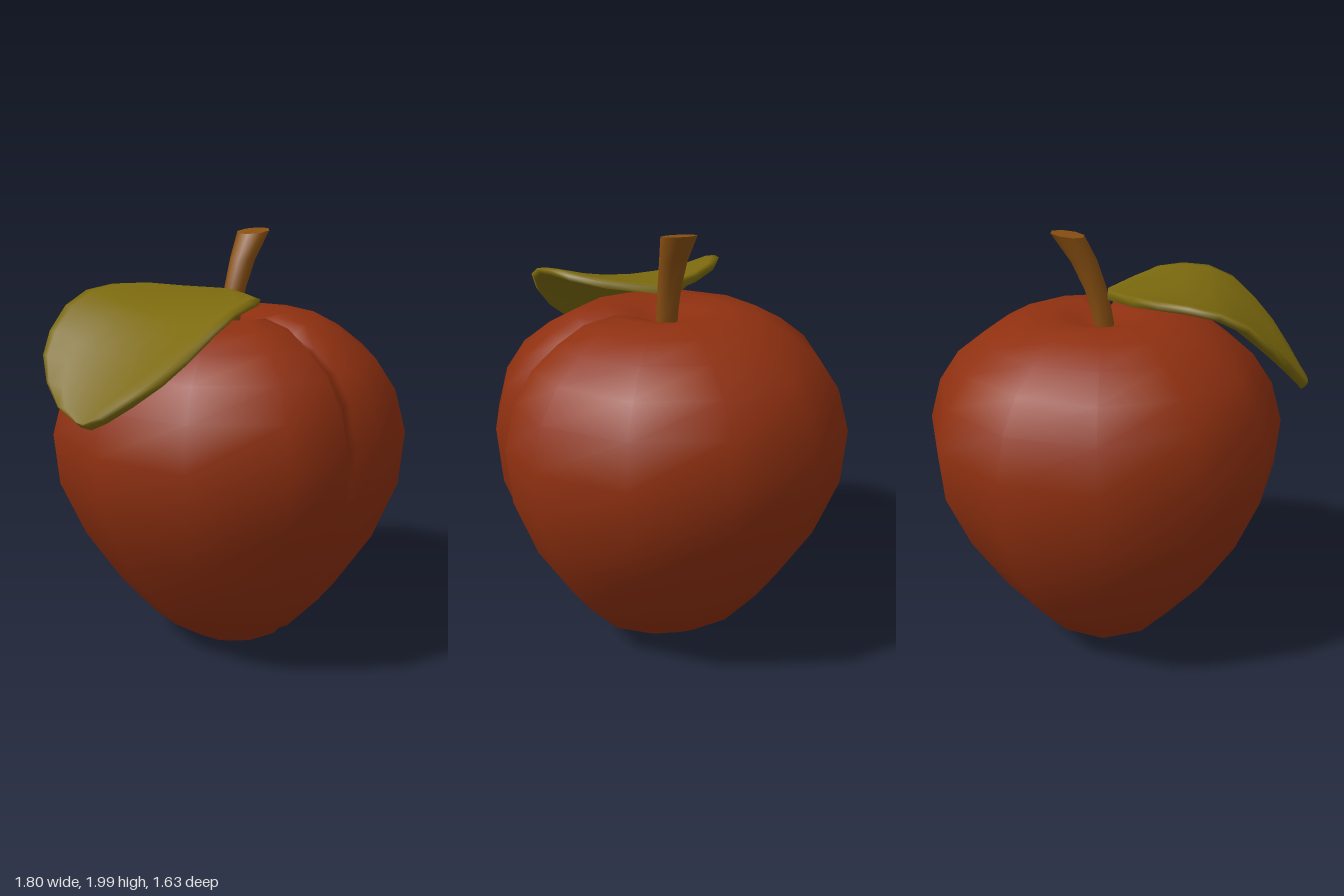
import * as THREE from 'three';
import { toCreasedNormals } from 'three/addons/utils/BufferGeometryUtils.js';

const V = (x, y, z) => new THREE.Vector3(x, y, z);

// Skin a stack of closed rings and close both ends with a fan to a centre point
function loft(rings, startPoint, endPoint) {
  const n = rings[0].length;
  const points = [...rings.flat(), startPoint, endPoint];
  const start = points.length - 2, end = points.length - 1;
  const last = (rings.length - 1) * n;
  const index = [];
  for (let j = 0; j < n; j++) {
    const k = (j + 1) % n;
    for (let i = 0; i < rings.length - 1; i++) {
      const a = i * n + j, b = i * n + k;
      index.push(a, b, b + n, a, b + n, a + n);
    }
    index.push(start, k, j, end, last + j, last + k);
  }
  const geo = new THREE.BufferGeometry().setFromPoints(points);
  geo.setIndex(index);
  geo.computeVertexNormals();
  return geo;
}

const centroid = (ring) =>
  ring.reduce((sum, p) => sum.add(p), V(0, 0, 0)).divideScalar(ring.length);

// Fruit: twelve-sided outline with the front corner replaced by a groove
function fruitGeometry() {
  const cx = 0.06, cz = 0.02;
  const outline = [[0.035, 0.875, 1], [0.145, 0.942, 0]];
  for (let k = 1; k < 12; k++) {
    const a = (k * Math.PI) / 6;
    outline.push([Math.sin(a), Math.cos(a), 0]);
  }
  outline.push([-0.145, 0.942, 0], [-0.035, 0.875, 1]);

  // radius, height, sag towards front and back, groove drop
  const rows = [
    [0.19, 0.02, 0.012, 0], [0.37, 0.15, 0.05, 0], [0.54, 0.36, 0.08, 0],
    [0.71, 0.63, 0.09, 0], [0.82, 0.88, 0.05, 0], [0.84, 1.11, 0.01, 0],
    [0.785, 1.3, 0, 0], [0.69, 1.44, 0, 0.01], [0.56, 1.54, 0, 0.025],
    [0.43, 1.61, 0, 0.045], [0.27, 1.635, 0, 0.06], [0.14, 1.605, 0, 0.04],
  ];
  const rings = rows.map(([r, y, sag, drop]) =>
    outline.map(([x, z, groove]) =>
      V(cx + x * r, y - sag * z * z - groove * drop, cz + z * r)));
  return loft(rings, V(cx, 0.03, cz), V(cx, 1.56, cz));
}

// Stem: eight-sided, bending to the side and widening upwards
function stemGeometry() {
  const rows = [
    [0.055, 1.53, 0.048], [0.075, 1.64, 0.05], [0.1, 1.74, 0.053],
    [0.152, 1.87, 0.062], [0.225, 1.99, 0.079],
  ];
  const rings = rows.map(([x, y, r], i) =>
    Array.from({ length: 8 }, (_, k) => {
      const a = ((k + 0.5) * Math.PI) / 4;
      const tilt = i === 4 ? 0.01 * Math.sin(a) : 0;
      return V(x + r * Math.sin(a), y + tilt, 0.025 + r * Math.cos(a));
    }));
  const geo = loft(rings, centroid(rings[0]), centroid(rings[4]));
  return toCreasedNormals(geo, 0.95);
}

// Leaf: cupped blade drooping at the tip; each row gives x, height, z range
function leafGeometry() {
  const rows = [
    [0.045, 1.74, 0.0, 0.055], [-0.07, 1.735, -0.17, 0.27],
    [-0.18, 1.725, -0.3, 0.42], [-0.3, 1.71, -0.37, 0.48],
    [-0.42, 1.685, -0.4, 0.51], [-0.53, 1.635, -0.4, 0.515],
    [-0.64, 1.55, -0.38, 0.475], [-0.73, 1.475, -0.33, 0.41],
    [-0.81, 1.4, -0.23, 0.3], [-0.87, 1.335, -0.1, 0.19],
    [-0.9, 1.305, 0.05, 0.12],
  ];
  const across = [1, 0.9, 0.6, 0.3, 0, -0.3, -0.6, -0.9, -1];
  const rings = rows.map(([x, y, z0, z1], i) => {
    const p = rows[Math.max(i - 1, 0)], q = rows[Math.min(i + 1, rows.length - 1)];
    const normal = V(q[1] - p[1], p[0] - q[0], 0).normalize();
    const mid = (z0 + z1) / 2, half = (z1 - z0) / 2;
    const at = (v, offset, inset) =>
      V(x, y, mid + half * v * inset)
        .addScaledVector(normal, 0.075 * (half * v / 0.45) ** 2 + offset);
    return [
      ...across.map((v) => at(v, Math.abs(v) === 1 ? -0.015 : 0, 1)),
      ...across.map((v) => at(-v, -0.042, 0.97)),
    ];
  });
  return loft(rings, centroid(rings[0]), centroid(rings[rings.length - 1]));
}

export function createModel() {
  const fruitRed = new THREE.MeshStandardMaterial({ color: 0x8f3010 });
  const stemBrown = new THREE.MeshStandardMaterial({ color: 0x884f12 });
  const leafOlive = new THREE.MeshStandardMaterial({ color: 0x7c6a0e });
  fruitRed.name = 'fruitRed';
  stemBrown.name = 'stemBrown';
  leafOlive.name = 'leafOlive';

  const model = new THREE.Group();
  model.name = 'fruit';
  const add = (name, geometry, material) => {
    const mesh = new THREE.Mesh(geometry, material);
    mesh.name = name;
    model.add(mesh);
  };
  add('body', fruitGeometry(), fruitRed);
  add('stem', stemGeometry(), stemBrown);
  add('leaf', leafGeometry(), leafOlive);
  return model;
}
